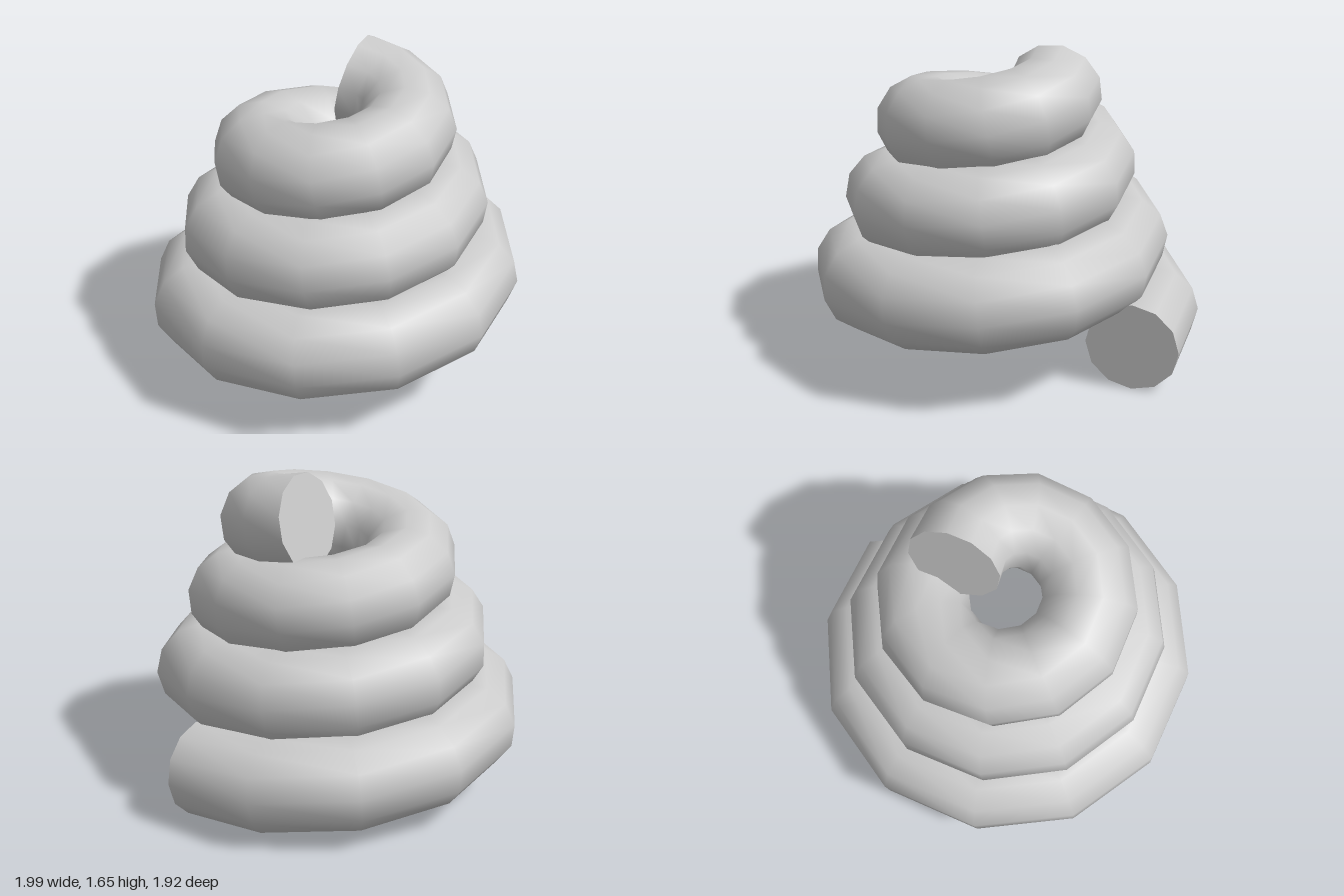
import * as THREE from 'three';

const STEPS = 37, PER_TURN = 12, SIDES = 12, TUBE = 0.235;

// Conical helix, sampled at 12 straight steps per turn
class Coil extends THREE.Curve {
  getPoint(u, target = new THREE.Vector3()) {
    const turn = u * STEPS / PER_TURN;
    const a = turn * Math.PI * 2;
    const r = 0.812 - 0.17 * turn;
    return target.set(-0.037 + r * Math.cos(a), 0.234 + 0.386 * turn, 0.035 - r * Math.sin(a));
  }
  getPointAt(u, target) {
    return this.getPoint(u, target);
  }
  // Each ring faces along the chord between its neighbours
  getTangentAt(u, target = new THREE.Vector3()) {
    const a = this.getPoint(Math.max(0, u - 1 / STEPS));
    const b = this.getPoint(Math.min(1, u + 1 / STEPS));
    return target.copy(b).sub(a).normalize();
  }
}

// Flat end disc made from one ring of the tube
function endCap(tube, ring, reverse) {
  const pos = tube.attributes.position;
  const points = [], index = [];
  for (let j = 0; j < SIDES; j++) {
    points.push(new THREE.Vector3().fromBufferAttribute(pos, ring * (SIDES + 1) + j));
  }
  if (reverse) points.reverse();
  for (let j = 1; j < SIDES - 1; j++) index.push(0, j, j + 1);
  const g = new THREE.BufferGeometry().setFromPoints(points);
  g.setIndex(index);
  g.computeVertexNormals();
  return g;
}

export function createModel() {
  const group = new THREE.Group();
  group.name = 'spiralCoil';
  const material = new THREE.MeshStandardMaterial({ color: 0xcccccc });
  const add = (name, geometry) => {
    const mesh = new THREE.Mesh(geometry, material);
    mesh.name = name;
    group.add(mesh);
  };

  const tube = new THREE.TubeGeometry(new Coil(), STEPS, TUBE, SIDES, false);
  add('coil', tube);
  add('bottomEndCap', endCap(tube, 0, false));
  add('topEndCap', endCap(tube, STEPS, true));
  return group;
}
